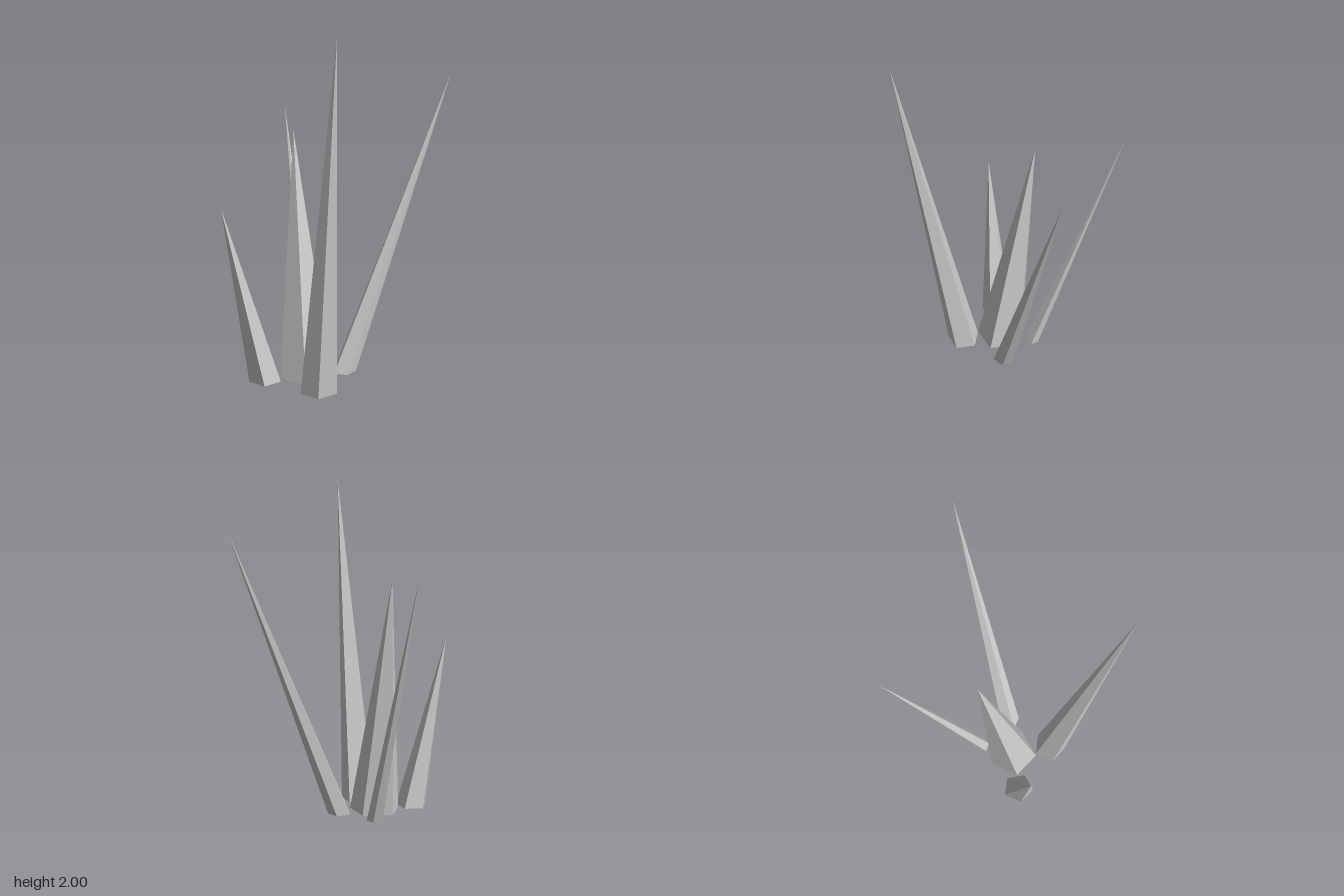
import * as THREE from 'three';

// Five-sided spikes, open underneath: base centre, base radii, tip, direction of the first base corner
const FRONT = 0, SIDE = -Math.PI / 2;
const SPIKES = [
  { name: 'centreSpike', base: [-0.247, 0.076], radii: [0.157, 0.156], tip: [-0.246, 1.42, -0.138], turn: SIDE },
  { name: 'frontSpike', base: [-0.248, 0.325], radii: [0.108, 0.102], tip: [-0.247, 2, 0.65], turn: SIDE },
  { name: 'rightSpike', base: [-0.491, 0.066], radii: [0.095, 0.1], tip: [-0.725, 1.045, 0.07], turn: SIDE },
  { name: 'backSpike', base: [-0.157, -0.112], radii: [0.051, 0.044], tip: [-0.154, 1.5, -0.648], turn: FRONT },
  { name: 'leftSpike', base: [-0.019, 0.095], radii: [0.072, 0.066], tip: [0.722, 1.725, -0.095], turn: FRONT },
];

// A unit cone sheared so its base stays flat on the ground while the tip leans away
function makeSpike({ name, base: [cx, cz], radii: [rx, rz], tip: [tx, ty, tz], turn }, material) {
  const geometry = new THREE.ConeGeometry(1, 1, 5, 1, true, turn);
  geometry.translate(0, 0.5, 0);
  geometry.applyMatrix4(new THREE.Matrix4().set(
    rx, tx - cx, 0, cx,
    0, ty, 0, 0,
    0, tz - cz, rz, cz,
    0, 0, 0, 1,
  ));
  const mesh = new THREE.Mesh(geometry, material);
  mesh.name = name;
  return mesh;
}

export function createModel() {
  const group = new THREE.Group();
  group.name = 'spikeCluster';
  const material = new THREE.MeshStandardMaterial({
    color: 0xcccccc, flatShading: true, side: THREE.DoubleSide,
  });
  for (const spike of SPIKES) group.add(makeSpike(spike, material));
  return group;
}
